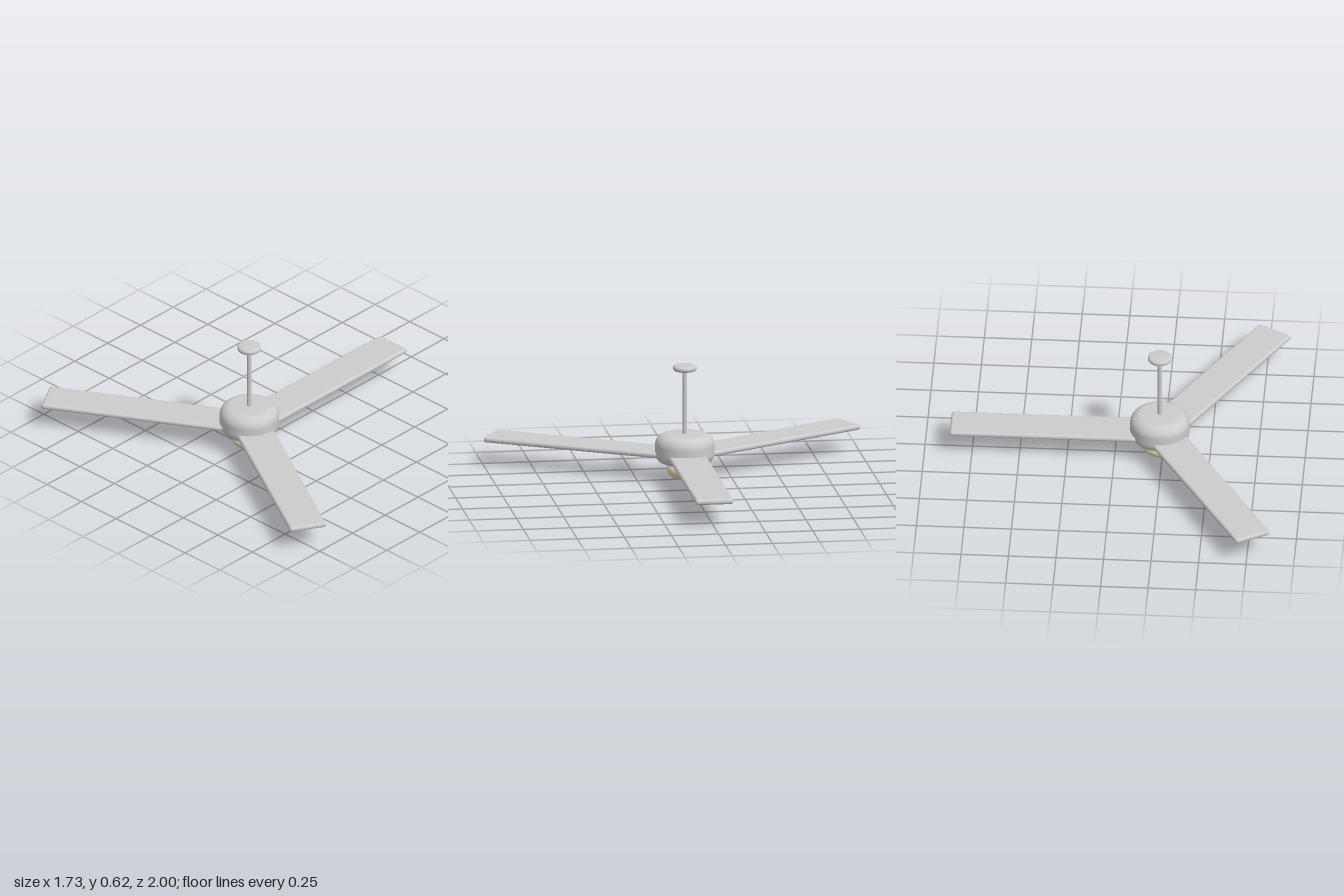
import * as THREE from 'three';
import { RoundedBoxGeometry } from 'three/addons/geometries/RoundedBoxGeometry.js';

const grey = new THREE.MeshStandardMaterial({ color: 0xcccccc });
const glow = new THREE.MeshStandardMaterial({ color: 0xe6d8b0 });

// Solid disc with rounded rims, turned about the y axis
function roundedDisc(radius, bottom, top, rBottom, rTop) {
  const pts = [new THREE.Vector2(0, bottom)];
  const arc = (cx, cy, r, from) => {
    for (let i = 0; i <= 10; i++) {
      const a = from + (i / 10) * Math.PI / 2;
      pts.push(new THREE.Vector2(cx + r * Math.cos(a), cy + r * Math.sin(a)));
    }
  };
  arc(radius - rBottom, bottom + rBottom, rBottom, -Math.PI / 2);
  arc(radius - rTop, top - rTop, rTop, 0);
  pts.push(new THREE.Vector2(0, top));
  return new THREE.LatheGeometry(pts, 64);
}

export function createModel() {
  const fan = new THREE.Group();
  fan.name = 'ceilingFan';
  const add = (name, geometry, material = grey) => {
    const mesh = new THREE.Mesh(geometry, material);
    mesh.name = name;
    fan.add(mesh);
    return mesh;
  };

  // Ceiling mount, rod and motor
  add('ceilingMount', roundedDisc(0.063, 0.59, 0.62, 0.0145, 0.0145));
  add('downRod', new THREE.CylinderGeometry(0.011, 0.011, 0.37, 32).translate(0, 0.415, 0));
  add('motorHousing', roundedDisc(0.157, 0.094, 0.25, 0.052, 0.06));

  // Lamp globe, flattened and set into the housing
  add('lampGlobe', new THREE.SphereGeometry(1, 48, 32).scale(0.094, 0.056, 0.094).translate(0, 0.057, 0), glow);

  // Three flat blades with softened edges
  const inner = 0.1, outer = 1.101;
  const blade = new RoundedBoxGeometry(outer - inner, 0.029, 0.2, 4, 0.0135)
    .translate((inner + outer) / 2, 0.14, 0);
  for (let i = 0; i < 3; i++) {
    add('blade' + (i + 1), blade).rotation.y = (i * Math.PI * 2) / 3;
  }

  // The three blades reach unevenly in x, so the hub sits off centre
  fan.position.x = -0.235;
  const model = new THREE.Group();
  model.add(fan);
  return model;
}
